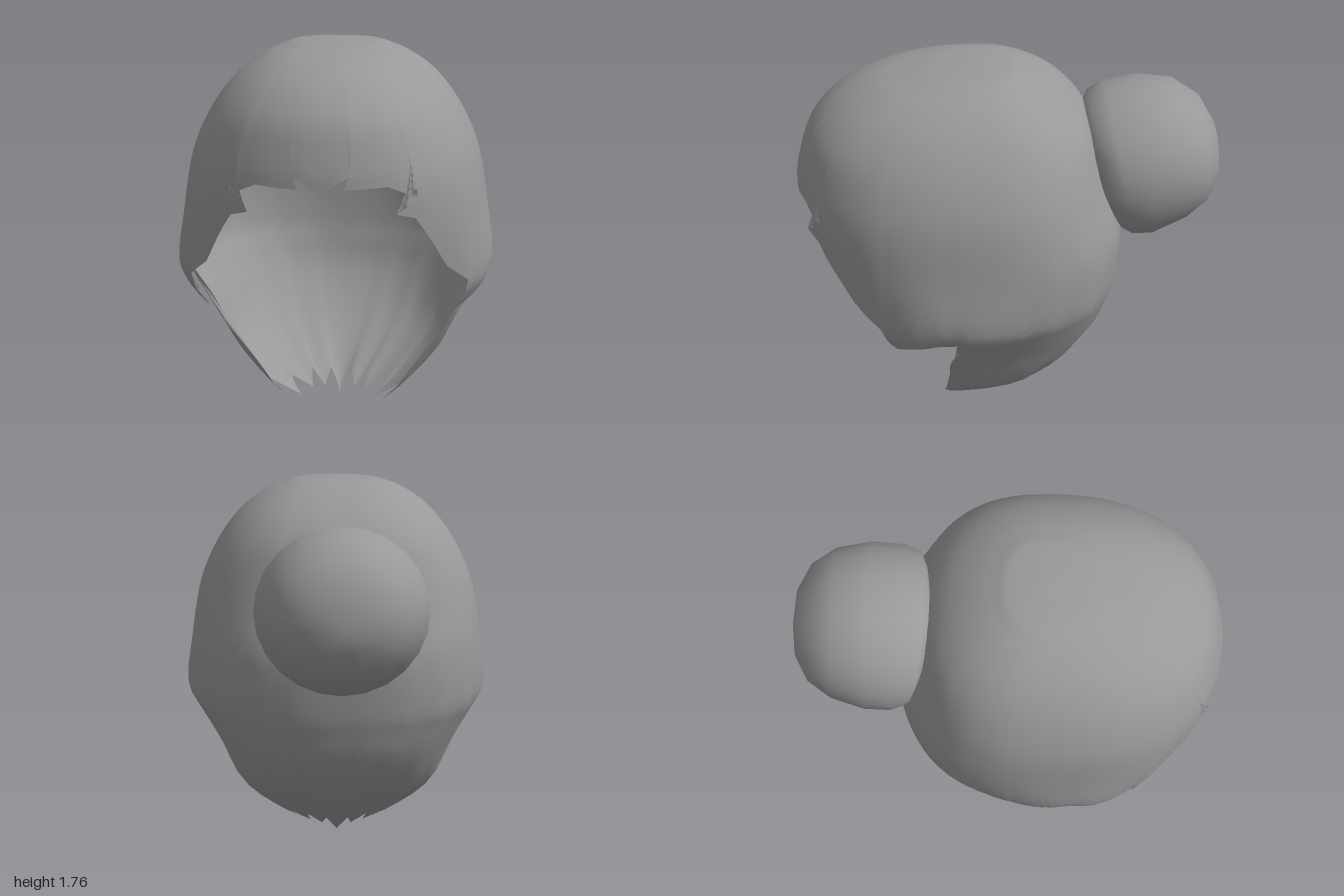
import * as THREE from 'three';
import { mergeVertices } from 'three/addons/utils/BufferGeometryUtils.js';

const { lerp, clamp, degToRad } = THREE.MathUtils;

// Head cross-sections from crown to nape: y, half width, front z, back z, centre z
const SECTIONS = [
  [1.77, 0, 0.15, 0.15, 0.15], [1.76, 0.18, 0.33, 0, 0.15], [1.74, 0.25, 0.46, -0.06, 0.16],
  [1.70, 0.34, 0.63, -0.15, 0.17], [1.62, 0.45, 0.79, -0.27, 0.18], [1.50, 0.55, 0.91, -0.37, 0.2],
  [1.35, 0.63, 0.97, -0.42, 0.2], [1.20, 0.675, 1.0, -0.465, 0.2], [1.0, 0.7, 0.99, -0.53, 0.2],
  [0.76, 0.7, 0.95, -0.52, 0.2], [0.65, 0.655, 0.9, -0.5, 0.2], [0.5, 0.58, 0.7, -0.46, 0.18],
  [0.3, 0.5, 0.45, -0.32, 0.15], [0.12, 0.34, 0.43, -0.12, 0.22], [0, 0.2, 0.41, 0.03, 0.27],
];

// Ragged hem from mid fringe to mid nape: x, y, z, and the angle where its strand starts
const HEM = [
  [0, 1.21, 1, 0], [0.07, 1.25, 0.985, 4.5], [0.14, 1.29, 0.975, 8.5], [0.1, 1.225, 0.985, 11],
  [0.28, 1.235, 0.94, 23], [0.41, 1.175, 0.88, 33], [0.32, 1.115, 0.94, 35], [0.4, 1.09, 0.89, 38],
  [0.46, 0.98, 0.82, 43], [0.54, 0.84, 0.74, 49], [0.59, 0.75, 0.6, 57], [0.6, 0.58, 0.58, 62],
  [0.66, 0.65, 0.47, 69], [0.69, 0.69, 0.35, 78], [0.64, 0.67, 0.27, 86], [0.62, 0.6, 0.28, 89],
  [0.55, 0.48, 0.29, 93], [0.42, 0.3, 0.31, 98], [0.28, 0.13, 0.32, 103], [0.26, 0.07, 0.34, 106],
  [0.28, 0.13, 0.24, 111], [0.22, 0.035, 0.18, 118], [0.19, 0.1, 0.12, 128], [0.15, 0.045, 0.09, 138],
  [0.12, 0.11, 0.04, 147], [0.085, 0.04, 0.05, 156], [0.05, 0.1, 0, 165], [0.025, 0.055, 0.02, 172],
  [0, 0.01, 0.03, 180],
];

const HOLE = { y: 1.235, r: 0.285 }; // opening behind the bun
const FRONT_POWER = 0.9, BACK_POWER = 0.8; // below 1 is squarer than an ellipse

// Smooth closed skin from a grid of points; skip() leaves triangles out
function skin(rows, cols, point, skip = () => false) {
  const pts = [], index = [];
  for (let i = 0; i <= rows; i++) for (let j = 0; j < cols; j++) pts.push(point(i, j));
  const tri = (...t) => { if (!skip(t.map(k => pts[k]))) index.push(...t); };
  for (let i = 0; i < rows; i++) for (let j = 0; j < cols; j++) {
    const k = (j + 1) % cols;
    const a = i * cols + j, c = i * cols + k;
    tri(a, a + cols, c);
    tri(c, a + cols, c + cols);
  }
  let geo = new THREE.BufferGeometry();
  geo.setAttribute('position', new THREE.Float32BufferAttribute(pts.flat(), 3));
  geo.setIndex(index);
  geo = mergeVertices(geo, 1e-4);
  geo.computeVertexNormals();
  return geo;
}

// Section at position s, on a smooth spline through the table
function sectionValues(s) {
  const last = SECTIONS.length - 1, i = Math.min(Math.floor(s), last - 1), t = s - i;
  const row = k => SECTIONS[clamp(k, 0, last)];
  return row(i).map((b, k) => {
    const a = row(i - 1)[k], c = row(i + 1)[k], d = row(i + 2)[k];
    return b + 0.5 * t * (c - a + t * (2 * a - 5 * b + 4 * c - d + t * (3 * (b - c) + d - a)));
  });
}

// Section position for a height, by bisection
function sectionAt(y) {
  let lo = 0, hi = SECTIONS.length - 1;
  for (let n = 0; n < 30; n++) {
    const mid = (lo + hi) / 2;
    if (sectionValues(mid)[0] > y) lo = mid; else hi = mid;
  }
  return lo;
}

// Point on the head at section position s and angle a (0 = front)
function headPoint(s, a) {
  const [y, w, zf, zb, zc] = sectionValues(s);
  const sn = Math.abs(Math.sin(a)), cs = Math.cos(a);
  // Local flare over the ears
  const flare = 0.045 * Math.exp(-(((y - 0.75) / 0.2) ** 2) - ((a - 1.45) / 0.3) ** 2);
  if (cs >= 0) return [w * sn ** FRONT_POWER + flare, y, zc + (zf - zc) * cs ** FRONT_POWER];
  return [w * sn ** BACK_POWER + flare, y, zc - (zc - zb) * (-cs) ** BACK_POWER];
}

// Angle on the head nearest to a point
function headAngle(x, y, z) {
  const [, w, zf, zb, zc] = sectionValues(sectionAt(y));
  const e = 1 / (z >= zc ? FRONT_POWER : BACK_POWER);
  const c = z >= zc ? ((z - zc) / (zf - zc)) ** e : -(((zc - z) / (zc - zb)) ** e);
  return Math.atan2((x / w) ** e, c);
}

// Depth of the back of the head at x, y
function backDepth(x, y) {
  const s = sectionAt(y), w = sectionValues(s)[1];
  return headPoint(s, Math.PI - Math.asin((Math.abs(x) / w) ** (1 / BACK_POWER)))[2];
}

function hairGeometry() {
  // Hem points with midpoints
  const half = HEM.flatMap((h, i) => i === HEM.length - 1 ? [h]
    : [h, h.map((v, k) => (v + HEM[i + 1][k]) / 2)]);
  const strands = half.map(h => {
    const end = sectionAt(h[1]), tipAngle = headAngle(h[0], h[1], h[2]);
    const q = headPoint(end, tipAngle);
    return { end, tipAngle, angle: degToRad(h[3]), shift: q.map((v, k) => h[k] - v) };
  });
  // Even out the offsets from the head so the hair hangs without pleats
  const softShift = (j, k) => {
    let sum = 0;
    for (let n = -3; n <= 3; n++) {
      const m = j + n, last = strands.length - 1;
      const mirrored = m < 0 ? -m : m > last ? 2 * last - m : m;
      sum += strands[mirrored].shift[k] * (k === 0 && mirrored !== m ? -1 : 1);
    }
    return sum / 7;
  };
  strands.forEach((strand, j) => { strand.soft = [0, 1, 2].map(k => softShift(j, k)); });
  const columns = [
    ...strands.map(strand => ({ strand, side: 1 })),
    ...strands.slice(1, -1).reverse().map(strand => ({ strand, side: -1 })),
  ];
  const rows = 36;
  const point = (i, j) => {
    const { strand, side } = columns[j];
    const t = i / rows, bend = t ** 8;
    // Strands slide along the head towards their hem point near the end
    const p = headPoint(t * strand.end, lerp(strand.angle, strand.tipAngle, bend));
    const v = p.map((c, k) => c + strand.soft[k] * bend);
    v[0] *= side;
    // Push points out of the opening onto its rim
    const dy = v[1] - HOLE.y, d = Math.hypot(v[0], dy);
    if (v[2] < 0 && d < HOLE.r) {
      const f = HOLE.r / Math.max(d, 1e-3);
      v[0] *= f;
      v[1] = HOLE.y + dy * f;
      v[2] = backDepth(v[0], v[1]);
    }
    return v;
  };
  const onRim = p => p[2] < 0 && Math.hypot(p[0], p[1] - HOLE.y) < HOLE.r + 1e-3;
  return skin(rows, columns.length, point, tri => tri.every(onRim));
}

function bunGeometry() {
  // Tilted rings from the open neck to the back: top z, top y, bottom z, bottom y, half width, side bend
  const rings = [
    [-0.355, 1.53, -0.53, 0.945, 0.29, 0.02], [-0.38, 1.565, -0.55, 0.92, 0.36, 0.02],
    [-0.45, 1.61, -0.59, 0.89, 0.39, 0], [-0.62, 1.64, -0.68, 0.89, 0.39, 0],
    [-0.78, 1.62, -0.83, 0.96, 0.35, 0], [-0.9, 1.54, -0.93, 1.04, 0.275, 0],
    [-0.97, 1.42, -0.98, 1.14, 0.165, 0], [-1, 1.25, -1, 1.25, 0, 0],
  ];
  const cols = 24;
  return skin(rings.length - 1, cols, (i, j) => {
    const [zt, yt, zb, yb, w, bend] = rings[i];
    const a = j / cols * Math.PI * 2, u = (1 + Math.sin(a)) / 2;
    return [w * Math.cos(a) - 0.01, lerp(yb, yt, u), lerp(zb, zt, u) + bend * Math.cos(a) ** 2];
  });
}

export function createModel() {
  const group = new THREE.Group();
  group.name = 'hairWithBun';
  const hair = new THREE.MeshStandardMaterial({ color: 0x999999, side: THREE.DoubleSide });
  hair.name = 'hairGrey';
  const add = (name, geo) => {
    const mesh = new THREE.Mesh(geo, hair);
    mesh.name = name;
    group.add(mesh);
  };
  add('hairShell', hairGeometry());
  add('bun', bunGeometry());
  return group;
}
